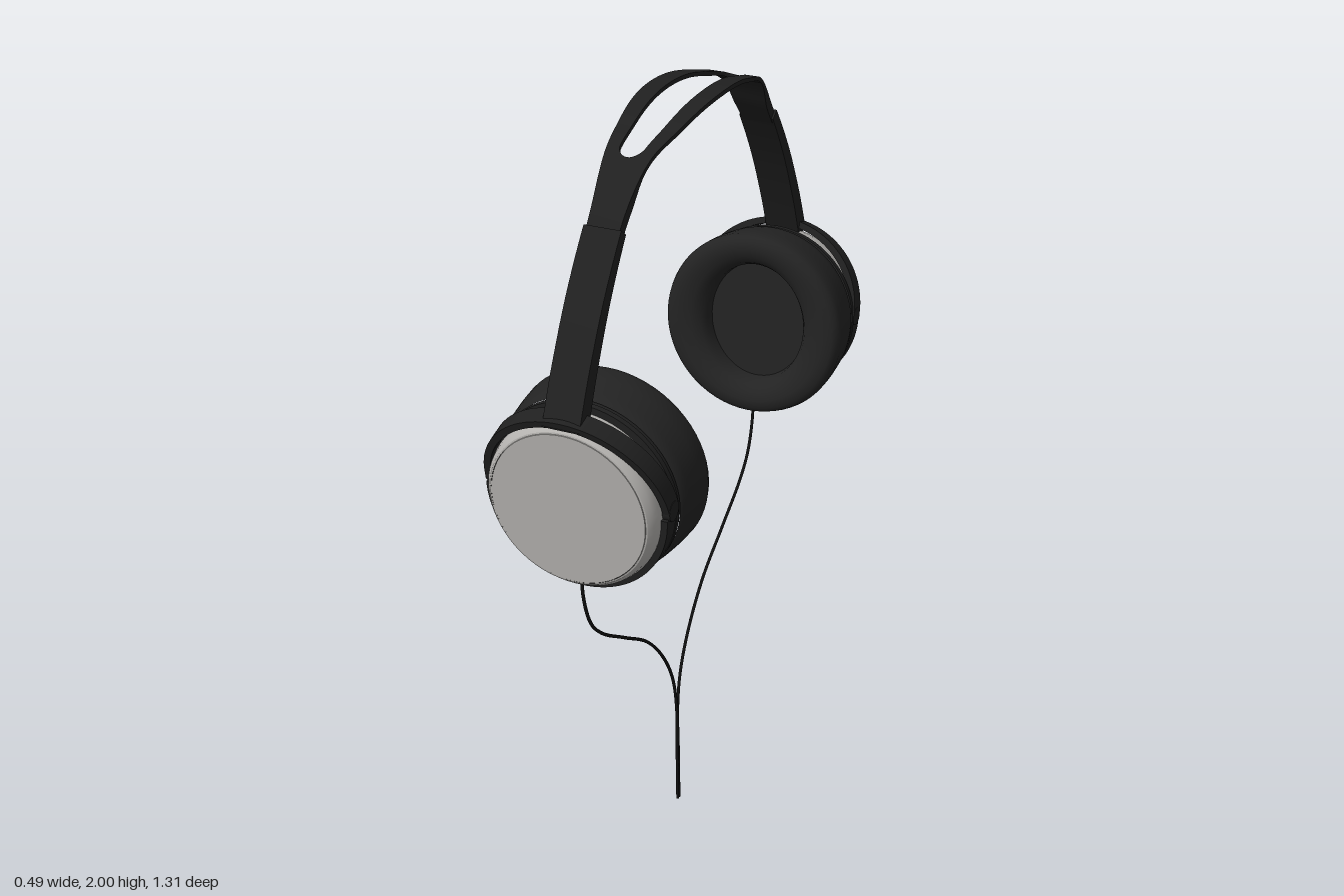
import * as THREE from 'three';
import { toCreasedNormals } from 'three/addons/utils/BufferGeometryUtils.js';

const plastic = new THREE.MeshStandardMaterial({ name: 'black plastic', color: 0x202020 });
const cushion = new THREE.MeshStandardMaterial({ name: 'cushion black', color: 0x232323 });
const silver = new THREE.MeshStandardMaterial({ name: 'silver', color: 0xb4b2af });
const cableBlack = new THREE.MeshStandardMaterial({ name: 'cable black', color: 0x101010 });

function part(name, geometry, material, parent) {
  const mesh = new THREE.Mesh(geometry, material);
  mesh.name = name;
  parent.add(mesh);
  return mesh;
}

// Capped solid through a list of four-cornered cross-sections
function sweep(sections) {
  const pos = sections.flat().flatMap(p => p.toArray());
  const index = [];
  const quad = (a, b, c, d) => index.push(a, b, c, a, c, d);
  const last = (sections.length - 1) * 4;
  for (let i = 0; i < last; i += 4) {
    for (let j = 0; j < 4; j++) {
      const k = (j + 1) % 4;
      quad(i + j, i + k, i + 4 + k, i + 4 + j);
    }
  }
  quad(3, 2, 1, 0);
  quad(last, last + 1, last + 2, last + 3);
  // Make the faces point outward
  const v = i => new THREE.Vector3().fromArray(pos, index[i] * 3);
  let volume = 0;
  for (let i = 0; i < index.length; i += 3) volume += v(i).dot(v(i + 1).cross(v(i + 2)));
  if (volume < 0) index.reverse();
  const g = new THREE.BufferGeometry();
  g.setAttribute('position', new THREE.Float32BufferAttribute(pos, 3));
  g.setIndex(index);
  return toCreasedNormals(g, 0.6);
}

// Outer line of the headband as (z, y)
const half = [[0.1, 1.993], [0.2, 1.97], [0.312, 1.932], [0.407, 1.842],
  [0.513, 1.697], [0.593, 1.553], [0.635, 1.46], [0.65, 1.425]];
const arch = new THREE.SplineCurve([
  ...half.map(([z, y]) => new THREE.Vector2(-z, y)).reverse(),
  new THREE.Vector2(0, 2),
  ...half.map(([z, y]) => new THREE.Vector2(z, y)),
]);

function archAt(z) {
  let lo = 0, hi = 1;
  for (let i = 0; i < 30; i++) {
    const mid = (lo + hi) / 2;
    if (arch.getPoint(mid).x < z) lo = mid; else hi = mid;
  }
  return { p: arch.getPoint(lo), t: arch.getTangent(lo) };
}

// Band that follows the arch between x edges, grown outward by lift and inward by thick
function ribbon(zs, x0, x1, thick, lift = 0) {
  return sweep(zs.map(z => {
    const { p, t } = archAt(z);
    const at = (x, d) => new THREE.Vector3(x, p.y + t.x * d, p.x - t.y * d);
    const a = x0(z), b = x1(z), d = -thick(z);
    return [at(a, lift), at(b, lift), at(b, d), at(a, d)];
  }));
}

const range = (a, b, n) => Array.from({ length: n + 1 }, (_, i) => a + (b - a) * i / n);

// Half ring of rectangular section in the plane of x and "up"
function halfRing(a0, a1, centre, up, axis, rx, ry, thick, width) {
  return sweep(range(a0, a1, 48).map(a => {
    const at = (dr, w) => centre.clone()
      .add(new THREE.Vector3(Math.cos(a) * (rx + dr), 0, 0))
      .addScaledVector(up, Math.sin(a) * (ry + dr))
      .addScaledVector(axis, w);
    return [at(0, -width / 2), at(thick, -width / 2), at(thick, width / 2), at(0, width / 2)];
  }));
}

// Turned part whose axis runs along z
function turned(points) {
  const g = new THREE.LatheGeometry(points.map(p => new THREE.Vector2(...p)), 64);
  return g.rotateX(Math.PI / 2);
}

function earSide(name) {
  const side = new THREE.Group();
  side.name = name;

  // Sleeve and the neck of the band above it
  part('sleeve', ribbon(range(0.43, 0.648, 14), () => -0.045, () => 0.045,
    z => 0.024 + (z - 0.43) * 0.08, 0.004), plastic, side);
  part('bandNeck', ribbon(range(0.31, 0.44, 8), z => -bandHalf(z), bandHalf,
    z => 0.01 + 0.016 * THREE.MathUtils.smoothstep(z, 0.33, 0.4)), plastic, side);

  // Yoke arching over the cup, with a pivot at each end
  const up = new THREE.Vector3(0, 0.95, 0.31);
  const axis = new THREE.Vector3(0, -0.31, 0.95);
  part('yoke', halfRing(0, Math.PI, new THREE.Vector3(0, 1.245, 0.565), up, axis,
    0.211, 0.205, 0.017, 0.046), plastic, side);
  for (const s of [-1, 1]) {
    const pivot = part('yokePivot', new THREE.CylinderGeometry(0.024, 0.024, 0.018, 24), plastic, side);
    pivot.rotation.z = Math.PI / 2;
    pivot.position.set(s * 0.219, 1.243, 0.565);
  }

  // Tilted ear cup
  const cup = new THREE.Group();
  cup.name = 'earCup';
  cup.position.set(0, 1.235, 0.5);
  cup.rotation.x = 0.07;
  side.add(cup);

  const pad = turned([[0, -0.05], [0.155, -0.05], [0.158, -0.075], [0.168, -0.094], [0.185, -0.106],
    [0.205, -0.112], [0.225, -0.11], [0.237, -0.1], [0.242, -0.085], [0.24, -0.05], [0.234, 0],
    [0.23, 0.02], [0.224, 0.026]]);
  // Narrow the recess into an oval
  const p = pad.attributes.position;
  for (let i = 0; i < p.count; i++) {
    const r = Math.hypot(p.getX(i), p.getY(i));
    if (p.getZ(i) < -0.04) p.setX(i, p.getX(i) * (0.85 + 0.15 * THREE.MathUtils.smoothstep(r, 0.155, 0.225)));
  }
  part('earPad', toCreasedNormals(pad, 0.7), cushion, cup);
  part('padSeat', toCreasedNormals(turned([[0.2, 0.02], [0.221, 0.02], [0.221, 0.034], [0.226, 0.036],
    [0.226, 0.05], [0.19, 0.052]]), 0.5), plastic, cup);
  part('lowerRim', halfRing(Math.PI, 2 * Math.PI, new THREE.Vector3(0, 0, 0.066),
    new THREE.Vector3(0, 1, 0), new THREE.Vector3(0, 0, 1), 0.2, 0.2, 0.024, 0.054), plastic, cup);
  part('silverShell', toCreasedNormals(turned([[0.2, 0.045], [0.209, 0.05], [0.209, 0.1], [0.204, 0.118],
    [0.194, 0.129], [0.19, 0.13]]), 0.5), silver, cup);
  part('silverCover', toCreasedNormals(turned([[0.19, 0.127], [0.189, 0.131], [0, 0.131]]), 0.5), silver, cup);
  return side;
}

// Half width of the headband and of its slot
function bandHalf(z) {
  return 0.04 + 0.05 * Math.pow(Math.max(0, Math.cos(Math.PI * z / 0.84)), 1.3);
}
function slotHalf(z) {
  const e = Math.max(0, (Math.abs(z) - 0.28) / 0.03);
  return (0.027 + 0.018 * Math.cos(z * 5)) * Math.sqrt(Math.max(0, 1 - e * e));
}

export function createModel() {
  const model = new THREE.Group();
  model.name = 'headphones';
  model.position.x = -0.008;
  model.rotation.y = 0.012;

  // Two rails of the split headband
  const zs = range(-1, 1, 48).map(u => 0.31 * Math.sin(u * Math.PI / 2));
  part('bandRailLeft', ribbon(zs, slotHalf, bandHalf, () => 0.01), plastic, model);
  part('bandRailRight', ribbon(zs, z => -bandHalf(z), z => -slotHalf(z), () => 0.01), plastic, model);

  // Both ear sides
  const front = earSide('frontEarSide');
  const back = earSide('backEarSide');
  back.rotation.y = Math.PI;
  model.add(front, back);

  // Cables meeting below and running down together
  const path = [[0.508, 1.02], [0.502, 0.92], [0.47, 0.83], [0.415, 0.77], [0.3, 0.69],
    [0.17, 0.6], [0.08, 0.5], [0.025, 0.4], [0.004, 0.3], [0.004, 0.15], [0.004, 0]];
  for (const s of [-1, 1]) {
    const curve = new THREE.CatmullRomCurve3(path.map(([z, y]) => new THREE.Vector3(-0.025 - 0.01 * y, y, s * z)));
    part('cable', new THREE.TubeGeometry(curve, 80, 0.0042, 8), cableBlack, model);
  }
  return model;
}
